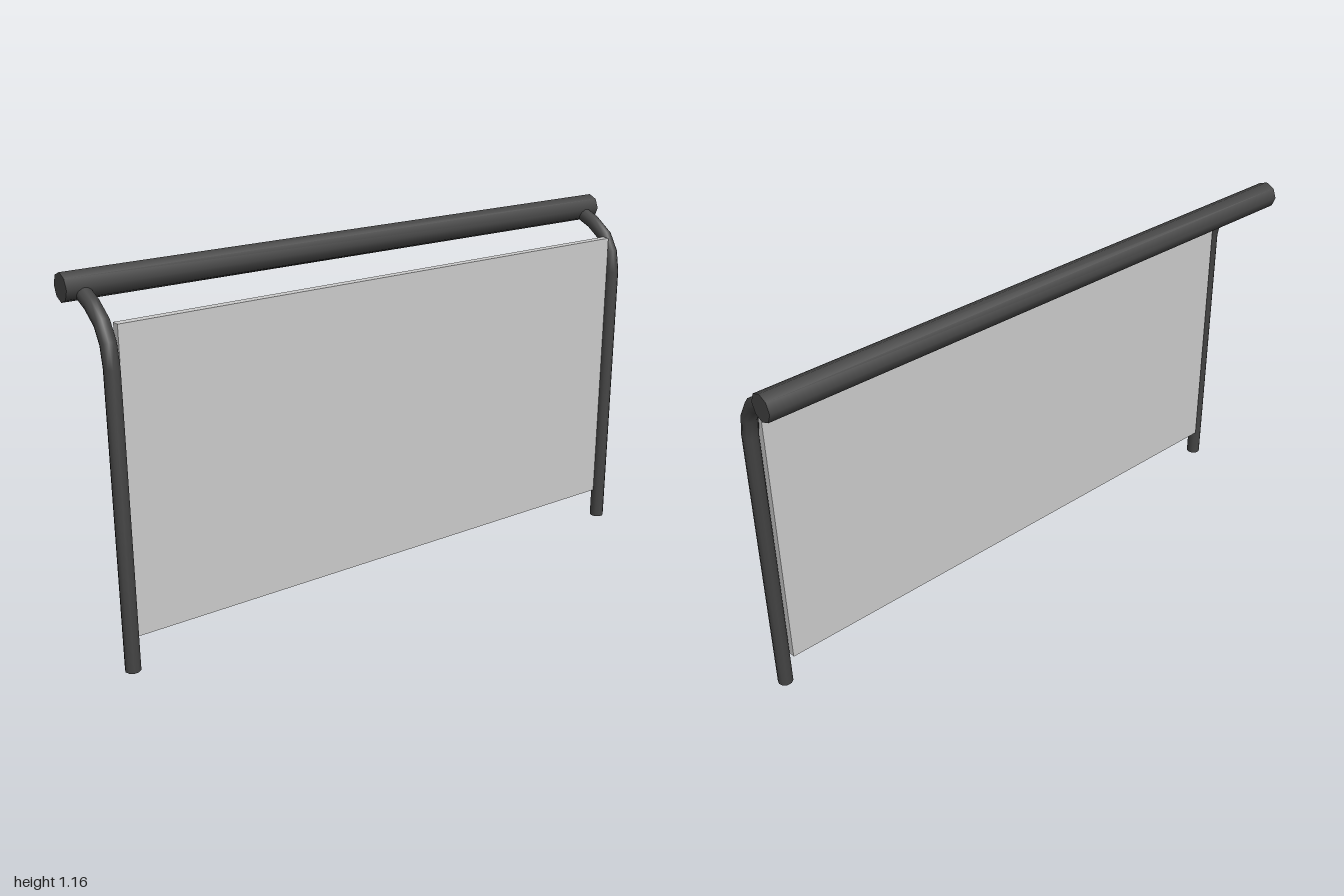
import * as THREE from 'three';

// Centre line of a bent post in the x-y plane, from foot to rail
const PATH = [
  [0.098, 0], [0.098, 0.926], [0.086, 0.992], [0.055, 1.043], [-0.003, 1.082], [-0.08, 1.113],
].map(([x, y]) => new THREE.Vector2(x, y));

// Capped cylinder whose rings are moved onto the path
function bentPost(radius) {
  const n = PATH.length - 1;
  const geo = new THREE.CylinderGeometry(radius, radius, n, 10, n);
  const pos = geo.attributes.position, nor = geo.attributes.normal;
  for (let i = 0; i < pos.count; i++) {
    const k = Math.round(pos.getY(i) + n / 2);
    const t = PATH[Math.min(k + 1, n)].clone().sub(PATH[k]).normalize()
      .add(PATH[k].clone().sub(PATH[Math.max(k - 1, 0)]).normalize()).normalize();
    const x = pos.getX(i), nx = nor.getX(i), ny = nor.getY(i);
    pos.setXYZ(i, PATH[k].x + x * t.y, PATH[k].y - x * t.x, pos.getZ(i));
    nor.setXYZ(i, nx * t.y + ny * t.x, -nx * t.x + ny * t.y, nor.getZ(i));
  }
  return geo;
}

export function createModel() {
  const model = new THREE.Group();
  const dark = new THREE.MeshStandardMaterial({ color: 0x444444 });
  const grey = new THREE.MeshStandardMaterial({ color: 0xcccccc });
  const add = (name, geo, mat, x, y, z) => {
    const mesh = new THREE.Mesh(geo, mat);
    mesh.name = name;
    mesh.position.set(x, y, z);
    model.add(mesh);
  };

  // Eight-sided handrail along z
  const rail = new THREE.CylinderGeometry(0.043, 0.043, 2, 8).rotateX(Math.PI / 2);
  add('handrail', rail, dark, -0.081, 1.12, 0);

  // Infill panel between the posts
  add('panel', new THREE.BoxGeometry(0.027, 0.942, 1.842), grey, 0.085, 0.574, 0);

  // Matching bent posts
  const post = bentPost(0.024);
  add('frontPost', post, dark, 0, 0, 0.946);
  add('backPost', post, dark, 0, 0, -0.946);
  return model;
}
